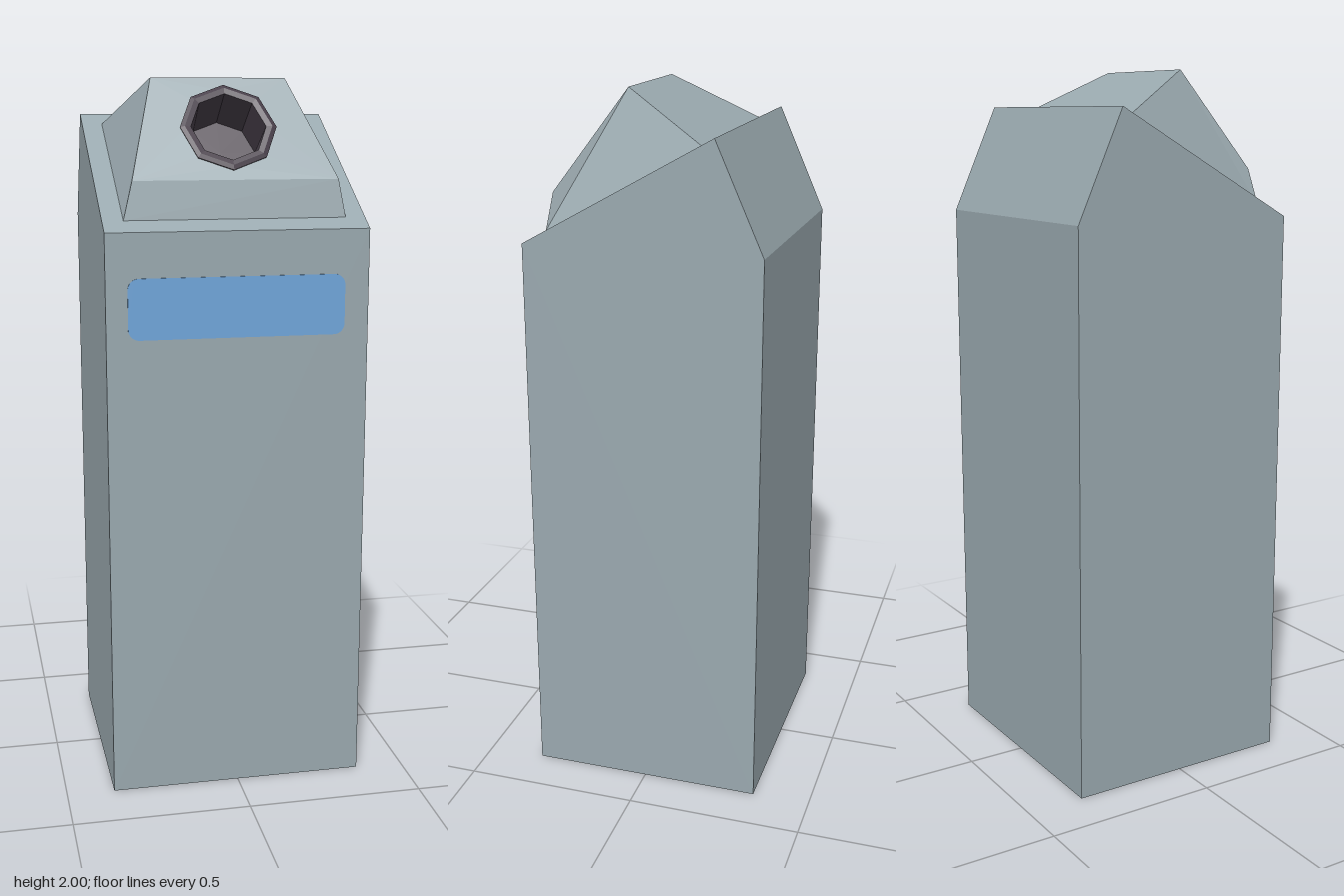
import * as THREE from 'three';

export function createModel() {
  const root = new THREE.Group();
  const mat = (name, color) => Object.assign(new THREE.MeshStandardMaterial({ color }), { name });
  const shell = mat('blue grey shell', 0x9aa9af);
  const dark = mat('dark spout', 0x483f4a);
  const blue = mat('blue label', 0x6fa5da);

  const add = (parent, name, geometry, material) => {
    const mesh = new THREE.Mesh(geometry, material);
    mesh.name = name;
    parent.add(mesh);
    return mesh;
  };
  const polygon = (pts) => new THREE.Shape(pts.map(([x, y]) => new THREE.Vector2(x, y)));

  // Flat panel as a fan of triangles, corners counter-clockwise from outside
  const panel = (...pts) => {
    const tris = [];
    for (let i = 1; i < pts.length - 1; i++) tris.push(...pts[0], ...pts[i], ...pts[i + 1]);
    const g = new THREE.BufferGeometry();
    g.setAttribute('position', new THREE.Float32BufferAttribute(tris, 3));
    g.computeVertexNormals();
    return g;
  };

  // Body: side profile (z, y) extruded across the width
  const profile = polygon([[-0.335, 0], [0.335, 0], [0.335, 1.6], [-0.2, 1.9], [-0.335, 1.6]]);
  const body = new THREE.ExtrudeGeometry(profile, { depth: 0.727, bevelEnabled: false });
  body.translate(0, 0, -0.3625).rotateY(-Math.PI / 2);
  add(root, 'body', body, shell);

  // Hood: sloped panels on the slanted top
  const hood = new THREE.Group();
  hood.name = 'hood';
  root.add(hood);
  const baseFront = [[-0.307, 1.627, 0.287], [0.307, 1.627, 0.287]];
  const baseBack = [[-0.307, 1.872, -0.15], [0.307, 1.872, -0.15]];
  const lip = [[-0.28, 1.73, 0.27], [0.29, 1.73, 0.27]];
  const ridge = [[-0.2, 2, 0.09], [0.18, 2, 0.09]];
  add(hood, 'hoodBack', panel(baseBack[1], baseBack[0], ridge[0], ridge[1]), shell);
  add(hood, 'hoodLip', panel(baseFront[0], baseFront[1], lip[1], lip[0]), shell);
  add(hood, 'hoodLeft', panel(baseFront[1], baseBack[1], ridge[1], lip[1]), shell);
  add(hood, 'hoodRight', panel(baseFront[0], lip[0], ridge[0], baseBack[0]), shell);

  // Tilted front of the hood, with an octagonal opening
  const front = new THREE.Group();
  front.name = 'hoodFront';
  front.position.set(0, 1.73, 0.27);
  front.rotation.x = -Math.atan2(0.18, 0.27);
  hood.add(front);
  const slope = Math.hypot(0.18, 0.27);
  const spoutY = 0.162;
  const face = polygon([[-0.28, 0], [0.29, 0], [0.18, slope], [-0.2, slope]]);
  const hole = [];
  for (let i = 0; i < 8; i++) {
    const a = (i * Math.PI) / 4;
    hole.push(new THREE.Vector2(0.12 * Math.sin(a), spoutY + 0.12 * Math.cos(a)));
  }
  face.holes.push(new THREE.Path(hole));
  add(front, 'frontFace', new THREE.ShapeGeometry(face), shell);

  // Spout: eight-sided rim with a hollow bore
  const spoutProfile = [[0.132, -0.003], [0.135, 0.006], [0.122, 0.011], [0.105, 0.008], [0.1, -0.127], [0, -0.127]]
    .map(([r, y]) => new THREE.Vector2(r, y));
  const spout = new THREE.LatheGeometry(spoutProfile, 8).toNonIndexed();
  spout.computeVertexNormals();
  spout.rotateX(Math.PI / 2).translate(0, spoutY, 0);
  add(front, 'spout', spout, dark);

  // Label: thin rounded plate on the front
  const w = 0.3, h = 0.083, r = 0.03;
  const plate = new THREE.Shape();
  plate.absarc(w - r, h - r, r, 0, Math.PI / 2);
  plate.absarc(r - w, h - r, r, Math.PI / 2, Math.PI);
  plate.absarc(r - w, r - h, r, Math.PI, Math.PI * 1.5);
  plate.absarc(w - r, r - h, r, Math.PI * 1.5, Math.PI * 2);
  const label = new THREE.ExtrudeGeometry(plate, { depth: 0.003, bevelEnabled: false, curveSegments: 5 });
  add(root, 'label', label, blue).position.set(-0.005, 1.395, 0.3345);

  return root;
}
